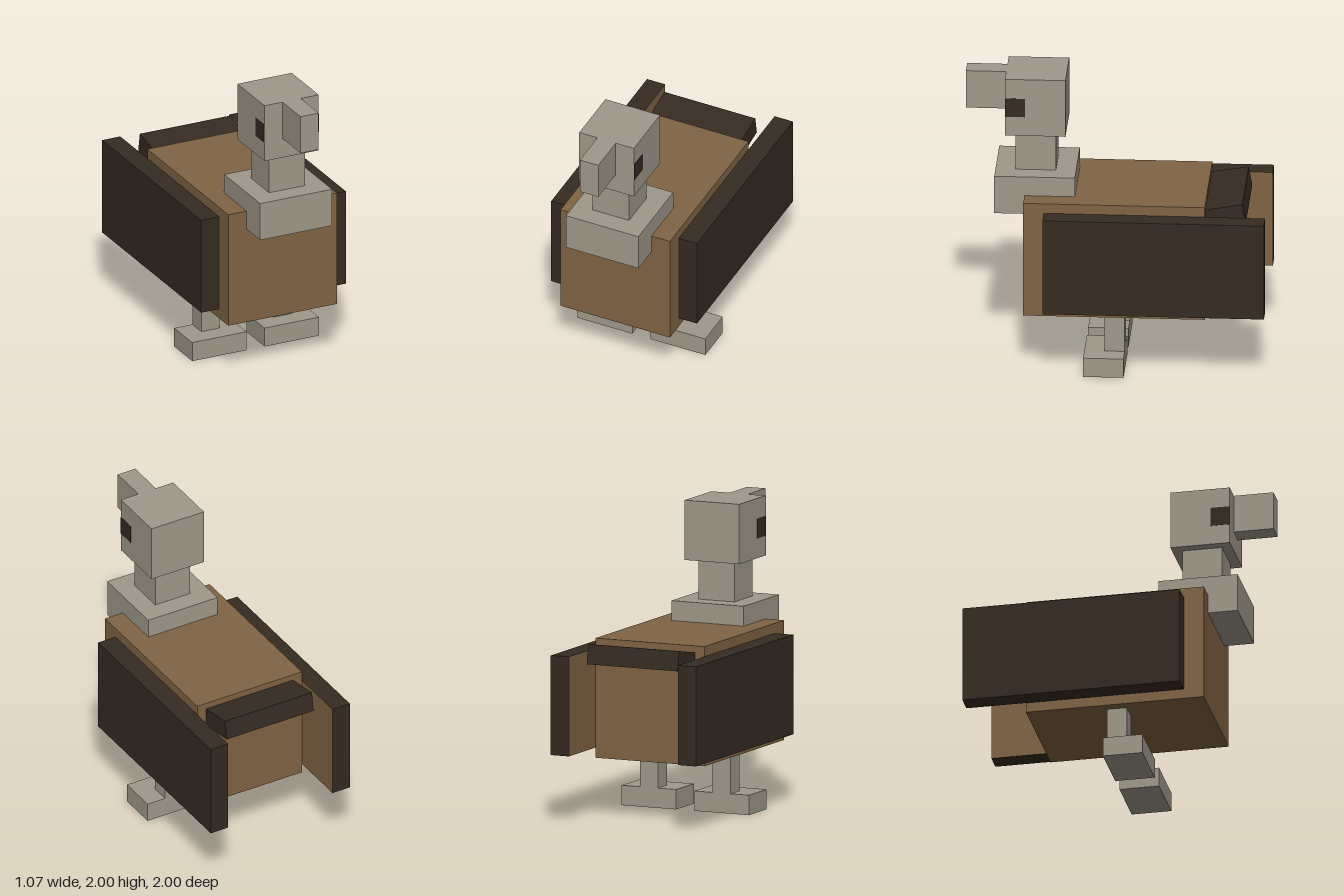
import * as THREE from 'three';

export function createModel() {
  const model = new THREE.Group();
  model.name = 'blockyBird';

  const mat = (name, color) => {
    const m = new THREE.MeshStandardMaterial({ color });
    m.name = name;
    return m;
  };
  const skin = mat('grey skin', 0x9f988b);
  const brown = mat('brown feathers', 0x806444);
  const dark = mat('dark feathers', 0x352b22);

  // Box given by its lower and upper limits on each axis
  const box = (name, material, [x0, x1], [y0, y1], [z0, z1], parent = model) => {
    const mesh = new THREE.Mesh(new THREE.BoxGeometry(x1 - x0, y1 - y0, z1 - z0), material);
    mesh.position.set((x0 + x1) / 2, (y0 + y1) / 2, (z0 + z1) / 2);
    mesh.name = name;
    parent.add(mesh);
    return mesh;
  };

  // Body, ruff, neck, head and beak
  box('body', brown, [-0.4, 0.4], [0.4, 1.2], [-0.6, 0.6]);
  box('ruff', skin, [-0.265, 0.265], [1.07, 1.333], [0.267, 0.8]);
  box('neck', skin, [-0.133, 0.133], [1.333, 1.6], [0.4, 0.667]);
  box('head', skin, [-0.2, 0.2], [1.6, 2], [0.333, 0.733]);
  box('beak', skin, [-0.067, 0.067], [1.737, 2], [0.733, 1]);

  // Tail, tilted up towards the back, with its root inside the body
  const tail = new THREE.Group();
  tail.name = 'tail';
  tail.position.set(0, 1.2, -0.845);
  tail.rotation.x = THREE.MathUtils.degToRad(10);
  box('tailFeathers', dark, [-0.333, 0.333], [-0.133, 0], [0, 0.4], tail);
  model.add(tail);

  // Paired parts
  for (const [side, s] of [['left', 1], ['right', -1]]) {
    const span = (a, b) => (s > 0 ? [a, b] : [-b, -a]);

    // Wing is dark outside and brown on its inner face
    const faces = Array(6).fill(dark);
    faces[s > 0 ? 1 : 0] = brown;
    box(side + 'Wing', faces, span(0.4, 0.533), [0.467, 1.133], [-1, 0.465]);

    box(side + 'Leg', skin, span(0.2, 0.333), [0.133, 0.4], [-0.067, 0.067]);
    box(side + 'Foot', skin, span(0.067, 0.467), [0, 0.133], [-0.067, 0.2]);

    // Eye as a thin plate on the side of the head
    box(side + 'Eye', dark, span(0.198, 0.202), [1.733, 1.863], [0.602, 0.732]);
  }

  return model;
}
